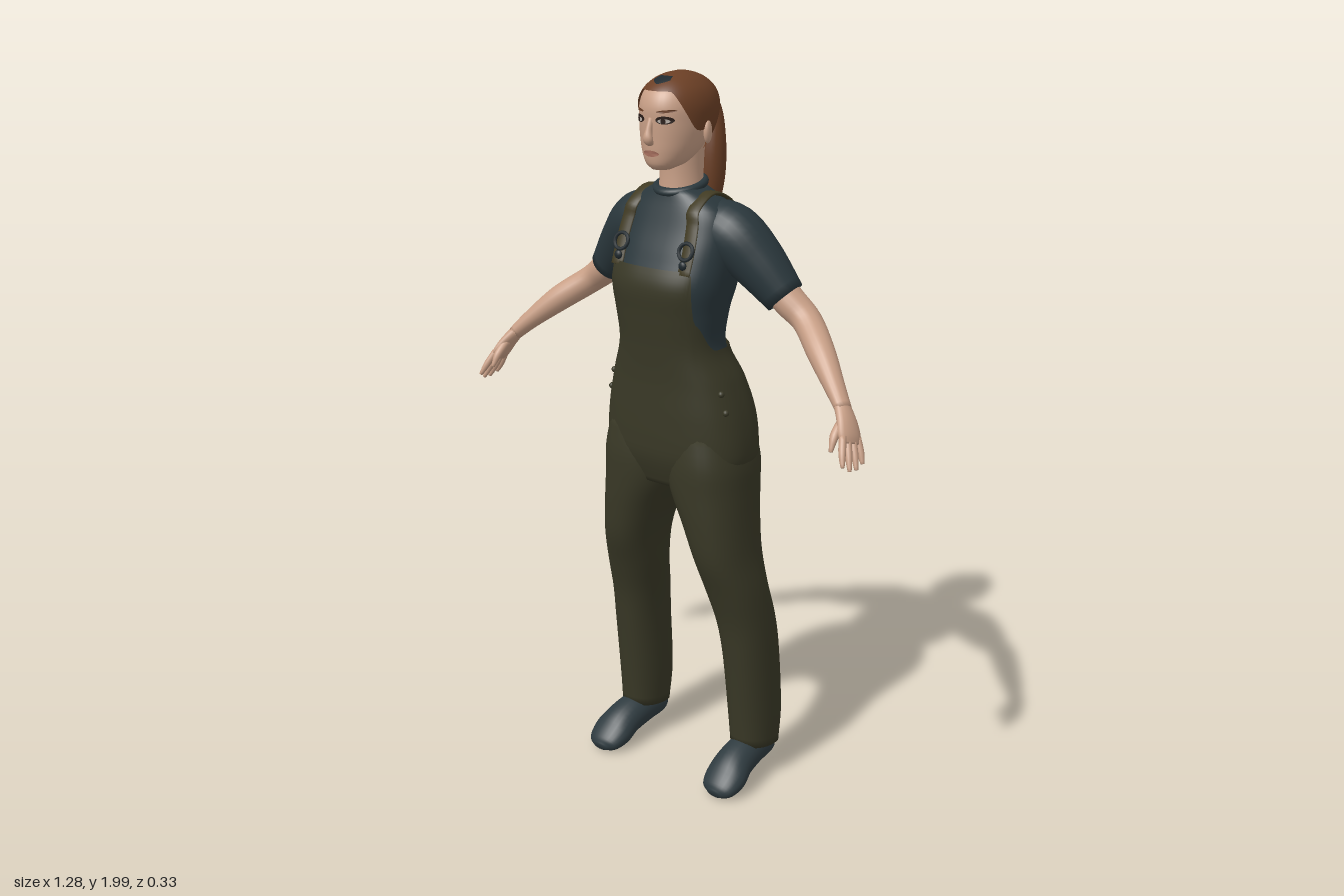
import * as THREE from 'three';

const mat = (name, color, side = THREE.FrontSide) => {
  const m = new THREE.MeshStandardMaterial({ color, side });
  m.name = name;
  return m;
};

// Smooth lookup in a table whose rows start with an ascending key
function at(tab, k) {
  const n = tab.length - 1;
  k = Math.min(Math.max(k, tab[0][0]), tab[n][0]);
  let i = 0;
  while (i < n - 1 && k > tab[i + 1][0]) i++;
  const slope = (q, c) => {
    const a = tab[Math.max(q - 1, 0)], b = tab[Math.min(q + 1, n)];
    return (b[c] - a[c]) / (b[0] - a[0]);
  };
  const h = tab[i + 1][0] - tab[i][0], t = (k - tab[i][0]) / h, t2 = t * t, t3 = t2 * t;
  return tab[i].map((v, c) => c === 0 ? k
    : v * (2 * t3 - 3 * t2 + 1) + tab[i + 1][c] * (3 * t2 - 2 * t3)
      + h * (slope(i, c) * (t3 - 2 * t2 + t) + slope(i + 1, c) * (t3 - t2)));
}

// Skin over rows of points; closed rows wrap around
function skin(rows, { closed = true, capStart = false, capEnd = false } = {}) {
  const centre = r => {
    const c = r.reduce((s, p) => s.add(p), new THREE.Vector3()).divideScalar(r.length);
    return r.map(() => c);
  };
  if (capStart) rows = [centre(rows[0]), ...rows];
  if (capEnd) rows = [...rows, centre(rows[rows.length - 1])];
  const m = rows[0].length, idx = [];
  for (let i = 0; i < rows.length - 1; i++)
    for (let j = 0; j < (closed ? m : m - 1); j++) {
      const a = i * m + j, b = i * m + (j + 1) % m;
      idx.push(a, b, a + m, b, b + m, a + m);
    }
  const g = new THREE.BufferGeometry().setFromPoints(rows.flat());
  g.setIndex(idx);
  g.computeVertexNormals();
  return g;
}

const spow = (v, e) => Math.sign(v) * Math.pow(Math.abs(v), e);

// Upright body section: table rows [y, halfWidth, zBack, zFront, xCentre]; angle 0 is the front
function onBody(tab, p, a, y, off = 0) {
  const [, rx, zb, zf, cx = 0] = at(tab, y);
  return new THREE.Vector3(cx + (rx + off) * spow(Math.sin(a), 2 / p), y,
    (zf + zb) / 2 + ((zf - zb) / 2 + off) * spow(Math.cos(a), 2 / p));
}
function shell(tab, p, bottom, top, { off = 0, segs = 48, steps = 40, ease = 1, from = -Math.PI, to = Math.PI, ...caps } = {}) {
  const closed = to - from > 6.2, rows = [];
  for (let i = 0; i <= steps; i++) {
    const t = 1 - Math.pow(1 - i / steps, ease), row = [];
    for (let j = 0; j < segs + (closed ? 0 : 1); j++) {
      const a = from + (to - from) * j / segs;
      row.push(onBody(tab, p, a, THREE.MathUtils.lerp(bottom(a), top(a), t), off));
    }
    rows.push(row);
  }
  return skin(rows, { closed, ...caps });
}
function surfaceZ(tab, p, x, y, dir = 1) {
  const [, rx, zb, zf] = at(tab, y);
  const k = Math.pow(Math.max(0, 1 - Math.pow(Math.abs(x) / rx, p)), 1 / p);
  return (zf + zb) / 2 + dir * (zf - zb) / 2 * k;
}

// Sweep an ellipse along points [x, y, z, wide, thick]; ref is the wide axis
function sweep(pts, ref, segs = 16, per = 5) {
  const tab = pts.map((p, i) => [i, ...p]), rows = [], n = (pts.length - 1) * per;
  const pos = k => new THREE.Vector3(...at(tab, k).slice(1, 4));
  for (let i = 0; i <= n; i++) {
    const k = i / per, [, , , , ra, rb] = at(tab, k), P = pos(k);
    const T = pos(k + 0.05).sub(pos(k - 0.05)).normalize();
    const S = new THREE.Vector3(...ref).addScaledVector(T, -T.dot(new THREE.Vector3(...ref))).normalize();
    const N = T.clone().cross(S);
    rows.push(Array.from({ length: segs }, (_, j) => {
      const a = j / segs * Math.PI * 2;
      return P.clone().addScaledVector(S, ra * Math.cos(a)).addScaledVector(N, rb * Math.sin(a));
    }));
  }
  return skin(rows, { capStart: true, capEnd: true });
}

export function createModel() {
  const model = new THREE.Group();
  const skinTone = mat('skin', 0xc89f86), shirtMat = mat('shirt', 0x2a373c, THREE.DoubleSide);
  const olive = mat('overalls', 0x393826, THREE.DoubleSide), strapMat = mat('strap', 0x403a22);
  const hairMat = mat('hair', 0x6b3f25, THREE.DoubleSide), dark = mat('dark metal', 0x20292e, THREE.DoubleSide);
  const shoeMat = mat('shoe', 0x2f3b40), lipMat = mat('lips', 0xa8705f), white = mat('eye white', 0xb9b0a8);
  const black = mat('eye dark', 0x2a1d18);

  const add = (name, geo, m) => {
    const mesh = new THREE.Mesh(geo, m);
    mesh.name = name;
    model.add(mesh);
    return mesh;
  };
  // Left part plus its mirror image
  const pair = (name, geo, m) => {
    add('left ' + name, geo, m);
    const g = geo.clone().scale(-1, 1, 1), ix = g.index.array;
    for (let i = 0; i < ix.length; i += 3) [ix[i], ix[i + 1]] = [ix[i + 1], ix[i]];
    add('right ' + name, g, m);
  };
  const { smoothstep } = THREE.MathUtils;

  // Torso, shirt and overalls
  const torso = [
    [0.9, 0.17, -0.1, 0.1], [0.96, 0.207, -0.122, 0.122], [1.0, 0.217, -0.13, 0.13], [1.1, 0.207, -0.128, 0.133],
    [1.2, 0.18, -0.102, 0.133], [1.29, 0.146, -0.066, 0.14], [1.38, 0.152, -0.075, 0.152], [1.46, 0.168, -0.1, 0.16],
    [1.53, 0.174, -0.106, 0.137], [1.6, 0.172, -0.1, 0.108], [1.65, 0.155, -0.082, 0.09],
    [1.68, 0.115, -0.065, 0.08], [1.705, 0.066, -0.05, 0.074]];
  const TP = 2.5;
  add('shirt body', shell(torso, TP, () => 1.2, () => 1.705, { capEnd: true }), shirtMat);
  const edge = a => {
    const f = Math.abs(a), back = Math.PI - f;
    return 1.51 - 0.14 * smoothstep(f, 0.68, 0.95) - 0.08 * smoothstep(f, 0.9, 1.5)
      + 0.2 * Math.exp(-Math.pow(back / 0.33, 2));
  };
  add('overalls body', shell(torso, TP, () => 0.9, edge, { off: 0.008, segs: 112, steps: 44, capStart: true }), olive);
  const collar = new THREE.TorusGeometry(0.062, 0.011, 10, 36).rotateX(Math.PI / 2).scale(1, 1, 1.06).rotateX(0.2);
  add('collar', collar.translate(0, 1.707, 0.01), shirtMat);
  pair('sleeve', sweep([[0.08, 1.6, -0.01, 0.07, 0.075], [0.15, 1.588, -0.015, 0.082, 0.082],
    [0.22, 1.525, -0.033, 0.073, 0.074], [0.3, 1.437, -0.05, 0.054, 0.055]], [0, 0, 1], 24), shirtMat);

  // Trouser legs, rows [y, halfWidth, zBack, zFront, xCentre]
  const leg = [
    [0.1, 0.145, 0.262, -0.155, 0], [0.2, 0.138, 0.265, -0.165, 0.008], [0.4, 0.13, 0.265, -0.15, 0.03],
    [0.5, 0.118, 0.262, -0.135, 0.045], [0.6, 0.1, 0.254, -0.112, 0.075], [0.7, 0.082, 0.238, -0.107, 0.11],
    [0.8, 0.048, 0.23, -0.115, 0.125], [0.9, 0.003, 0.226, -0.128, 0.133], [0.97, -0.005, 0.224, -0.133, 0.135],
    [1.06, 0, 0.205, -0.12, 0.125]].map(([y, i, o, b, f]) => [y, (o - i) / 2, b, f, (o + i) / 2]);
  pair('trouser leg', shell(leg, 2.3, a => 0.105 + 0.012 * Math.cos(a), () => 1.06,
    { segs: 36, capStart: true, capEnd: true }), olive);

  // Shoes, points [x, y, z, halfWidth, halfHeight]
  pair('shoe', sweep([[0.2, 0.085, -0.142, 0.015, 0.015], [0.2, 0.088, -0.122, 0.043, 0.042],
    [0.203, 0.088, -0.05, 0.05, 0.052], [0.207, 0.074, 0.02, 0.055, 0.05], [0.212, 0.048, 0.07, 0.062, 0.042],
    [0.214, 0.028, 0.11, 0.05, 0.027], [0.214, 0.02, 0.127, 0.022, 0.012]], [1, 0, 0], 24), shoeMat);

  // Shoulder straps with buckles
  const strapAt = (x, y, d) => [x, y, surfaceZ(torso, TP, x, y, d) + d * 0.008, 0.02, 0.006];
  pair('strap', sweep([strapAt(0.112, 1.5, 1), strapAt(0.112, 1.56, 1), strapAt(0.107, 1.62, 1), strapAt(0.1, 1.66, 1),
    [0.098, 1.694, 0.01, 0.02, 0.006], strapAt(0.095, 1.66, -1), strapAt(0.08, 1.6, -1), strapAt(0.05, 1.53, -1),
    strapAt(0.014, 1.46, -1)], [1, 0, 0], 12), strapMat);
  pair('buckle', new THREE.TorusGeometry(0.022, 0.005, 8, 20).rotateX(-0.35)
    .translate(0.108, 1.56, surfaceZ(torso, TP, 0.108, 1.56) + 0.014), dark);
  pair('bib button', new THREE.SphereGeometry(0.012, 12, 8).scale(1, 1, 0.6)
    .translate(0.108, 1.525, surfaceZ(torso, TP, 0.108, 1.525) + 0.014), dark);
  for (const y of [1.13, 1.18]) {
    const p = onBody(torso, TP, 1.2, y, 0.009);
    pair('hip button', new THREE.SphereGeometry(0.009, 10, 8).translate(p.x, p.y, p.z), olive);
  }

  // Arms and hands
  pair('arm', sweep([[0.25, 1.49, -0.042, 0.045, 0.045], [0.31, 1.43, -0.052, 0.046, 0.043],
    [0.37, 1.385, -0.05, 0.042, 0.038], [0.45, 1.325, 0, 0.037, 0.036], [0.52, 1.262, 0.042, 0.029, 0.026],
    [0.565, 1.217, 0.066, 0.025, 0.019]], [0, 0.2, 1], 20), skinTone);
  const W = new THREE.Vector3(-0.2, 0.3, 0.95).normalize(), end = new THREE.Vector3(0.607, 1.15, 0.095);
  pair('palm', sweep([[0.558, 1.225, 0.063, 0.024, 0.018], [0.583, 1.192, 0.077, 0.034, 0.017],
    [0.6, 1.162, 0.09, 0.039, 0.015], [0.61, 1.143, 0.098, 0.034, 0.009]], W.toArray(), 16), skinTone);
  [-1.5, -0.5, 0.5, 1.5].forEach((k, i) => {
    const len = [0.055, 0.072, 0.078, 0.07][i];
    const pt = (d, w, r) => [...end.clone().add(new THREE.Vector3(0.36, -0.86, 0.34).multiplyScalar(d))
      .addScaledVector(W, k * w).toArray(), r, r];
    pair('finger', sweep([pt(-0.01, 0.018, 0.01), pt(len * 0.5, 0.023, 0.0095), pt(len, 0.025, 0.005)],
      W.toArray(), 10, 4), skinTone);
  });
  pair('thumb', sweep([[0.577, 1.195, 0.09, 0.012, 0.012], [0.579, 1.165, 0.125, 0.012, 0.011],
    [0.583, 1.13, 0.145, 0.005, 0.005]], [1, 0, 0], 10, 4), skinTone);

  // Neck and head
  const neck = [[1.66, 0.062, -0.055, 0.07], [1.74, 0.055, -0.056, 0.066], [1.83, 0.056, -0.065, 0.07]];
  add('neck', shell(neck, 2, () => 1.66, () => 1.83, { steps: 8 }), skinTone);
  const head = [
    [1.757, 0.024, 0.06, 0.112], [1.77, 0.046, 0.01, 0.124], [1.8, 0.066, -0.035, 0.13], [1.84, 0.079, -0.07, 0.132],
    [1.88, 0.085, -0.092, 0.133], [1.92, 0.085, -0.098, 0.132], [1.955, 0.073, -0.084, 0.116],
    [1.98, 0.05, -0.055, 0.085], [1.993, 0.026, -0.024, 0.05], [1.998, 0.006, 0, 0.02]];
  const HP = 2.15;
  add('head', shell(head, HP, () => 1.757, () => 1.99, { capStart: true, capEnd: true }), skinTone);
  pair('ear', new THREE.SphereGeometry(1, 14, 10).scale(0.01, 0.03, 0.018).rotateY(0.3).translate(0.088, 1.85, 0.008), skinTone);
  add('nose', sweep([[0, 1.89, 0.128, 0.007, 0.007], [0, 1.86, 0.137, 0.009, 0.01], [0, 1.838, 0.141, 0.014, 0.012],
    [0, 1.826, 0.131, 0.01, 0.008]], [1, 0, 0], 14), skinTone);

  // Painted face plates laid on the head
  const plate = (x, y, w, h, off, tilt = 0) => {
    const g = new THREE.CircleGeometry(1, 20).scale(w, h, 1).rotateZ(tilt).translate(x, y, 0), q = g.attributes.position;
    for (let i = 0; i < q.count; i++) q.setZ(i, surfaceZ(head, HP, q.getX(i), q.getY(i)) + off);
    g.computeVertexNormals();
    return g;
  };
  pair('eye shadow', plate(0.039, 1.887, 0.021, 0.01, 0.002), black);
  pair('eye', plate(0.039, 1.885, 0.014, 0.0055, 0.004), white);
  pair('iris', plate(0.039, 1.885, 0.006, 0.006, 0.006), black);
  pair('eyebrow', plate(0.042, 1.909, 0.022, 0.0035, 0.002, 0.1), hairMat);
  add('lips', plate(0, 1.801, 0.025, 0.008, 0.003), lipMat);

  // Hair cap, ponytail and bands
  const hairline = a => {
    const f = Math.abs(a);
    return 1.957 - 0.1 * smoothstep(f, 0.55, 1.45) - 0.07 * smoothstep(f, 1.6, 2.6);
  };
  add('hair', shell(head, HP, hairline, () => 1.998, { off: 0.006, segs: 64, steps: 24, ease: 2, capEnd: true }), hairMat);
  add('front hair patch', shell(head, HP, a => 1.972 + 0.02 * Math.abs(a), () => 1.99,
    { off: 0.008, segs: 10, steps: 6, from: -0.45, to: 0.45 }), dark);
  add('ponytail', sweep([[0, 1.905, -0.09, 0.012, 0.014], [0, 1.905, -0.118, 0.02, 0.018], [0, 1.86, -0.13, 0.028, 0.026],
    [0, 1.77, -0.128, 0.034, 0.038], [0, 1.68, -0.125, 0.028, 0.034], [0, 1.585, -0.118, 0.006, 0.008]], [1, 0, 0], 18), hairMat);
  add('hair band', new THREE.TorusGeometry(0.02, 0.01, 10, 20).rotateX(0.5).translate(0, 1.905, -0.112), dark);
  return model;
}
